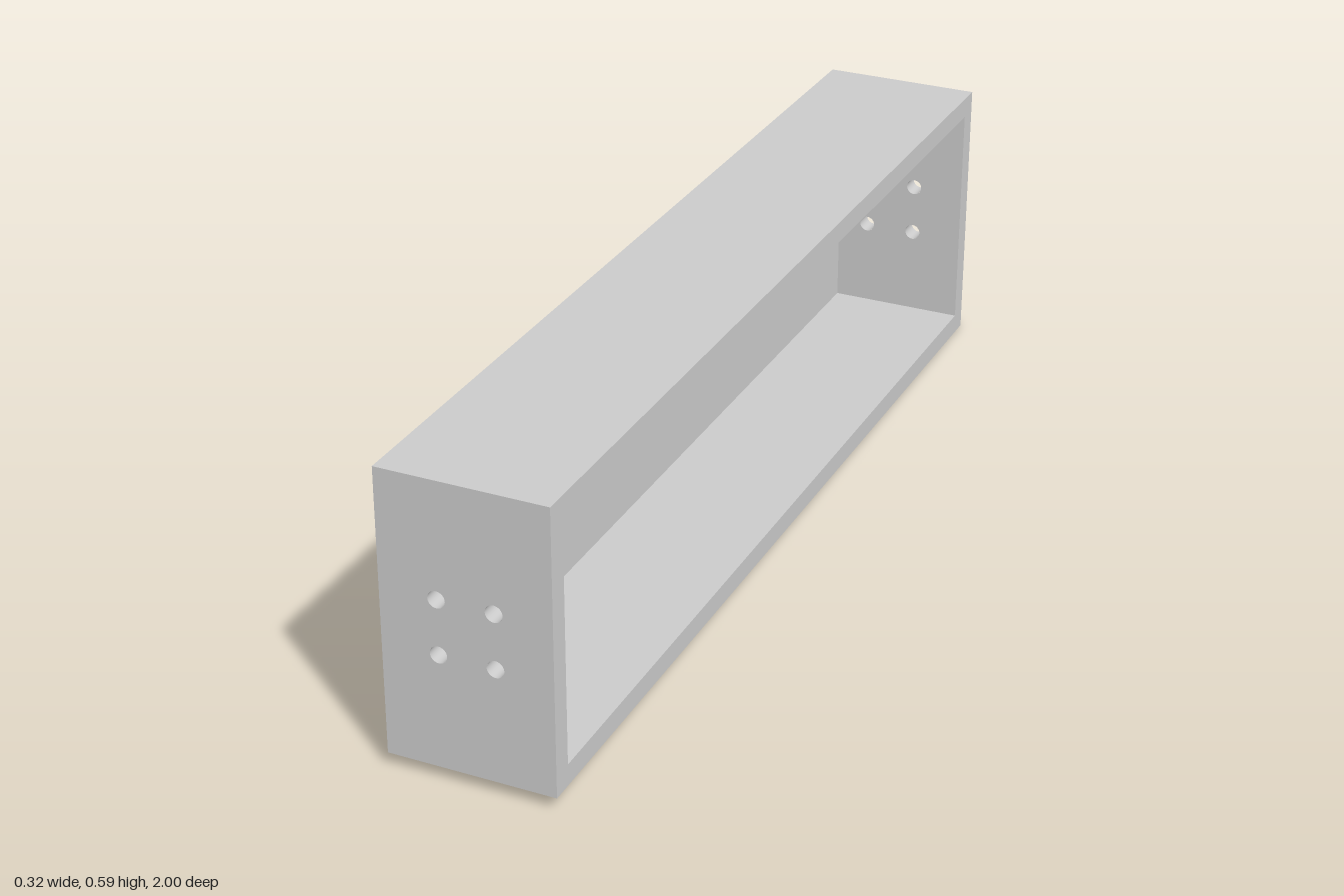
import * as THREE from 'three';
import { mergeGeometries } from 'three/addons/utils/BufferGeometryUtils.js';

const W = 0.324, H = 0.558, L = 1.9926; // outer size in x, y, z
const T = 0.042;                        // wall thickness
const R = 0.0165, D = 0.0535;           // bolt hole radius and offset
const TILT = 0.0136;
const CORNERS = [[-D, -D], [D, -D], [D, D], [-D, D]];

function rect(Type, w, h) {
  const p = new Type();
  p.moveTo(-w / 2, -h / 2);
  p.lineTo(w / 2, -h / 2);
  p.lineTo(w / 2, h / 2);
  p.lineTo(-w / 2, h / 2);
  p.closePath();
  return p;
}

// Flat panel facing +z, turned about x and y, then moved into place
function panel(w, h, [rx, ry], [x, y, z], holes = []) {
  const shape = rect(THREE.Shape, w, h);
  shape.holes.push(...holes);
  return new THREE.ShapeGeometry(shape, 32).rotateX(rx).rotateY(ry).translate(x, y, z);
}

const boltHoles = (shift) => CORNERS.map(([x, y]) =>
  new THREE.Path().absarc(x + shift, y, R, 0, Math.PI * 2, true));

export function createModel() {
  const model = new THREE.Group();
  const box = new THREE.Group();
  box.name = 'tiltedBox';
  box.position.y = 0.2925;
  box.rotation.x = -TILT;
  model.add(box);

  const material = new THREE.MeshStandardMaterial({ color: 0xcccccc });
  const holeMaterial = new THREE.MeshStandardMaterial({ color: 0xcccccc, side: THREE.DoubleSide });
  const add = (name, parts, mat = material) => {
    const mesh = new THREE.Mesh(mergeGeometries(parts), mat);
    mesh.name = name;
    box.add(mesh);
  };

  const q = Math.PI / 2;
  const iw = W - T, ih = H - 2 * T, il = L - 2 * T; // cavity size
  const cx = T / 2;                                 // cavity centre, open at +x

  // Outer skin: two drilled ends, top, bottom and closed side
  add('outerShell', [
    panel(W, H, [0, 0], [0, 0, L / 2], boltHoles(0)),
    panel(W, H, [0, Math.PI], [0, 0, -L / 2], boltHoles(0)),
    panel(W, L, [-q, 0], [0, H / 2, 0]),
    panel(W, L, [q, 0], [0, -H / 2, 0]),
    panel(L, H, [0, -q], [-W / 2, 0, 0]),
  ]);

  // Cavity walls, facing inward
  add('innerShell', [
    panel(iw, ih, [0, Math.PI], [cx, 0, il / 2], boltHoles(cx)),
    panel(iw, ih, [0, 0], [cx, 0, -il / 2], boltHoles(-cx)),
    panel(iw, il, [q, 0], [cx, ih / 2, 0]),
    panel(iw, il, [-q, 0], [cx, -ih / 2, 0]),
    panel(il, ih, [0, q], [-W / 2 + T, 0, 0]),
  ]);

  // Rim around the open side
  add('openingRim', [panel(L, H, [0, q], [W / 2, 0, 0], [rect(THREE.Path, il, ih)])]);

  // Bores of the bolt holes through both ends
  const bores = [];
  for (const end of [-1, 1]) {
    for (const [x, y] of CORNERS) {
      bores.push(new THREE.CylinderGeometry(R, R, T, 32, 1, true)
        .rotateX(q).translate(x, y, end * (L - T) / 2));
    }
  }
  add('boltHoleBores', bores, holeMaterial);

  return model;
}
